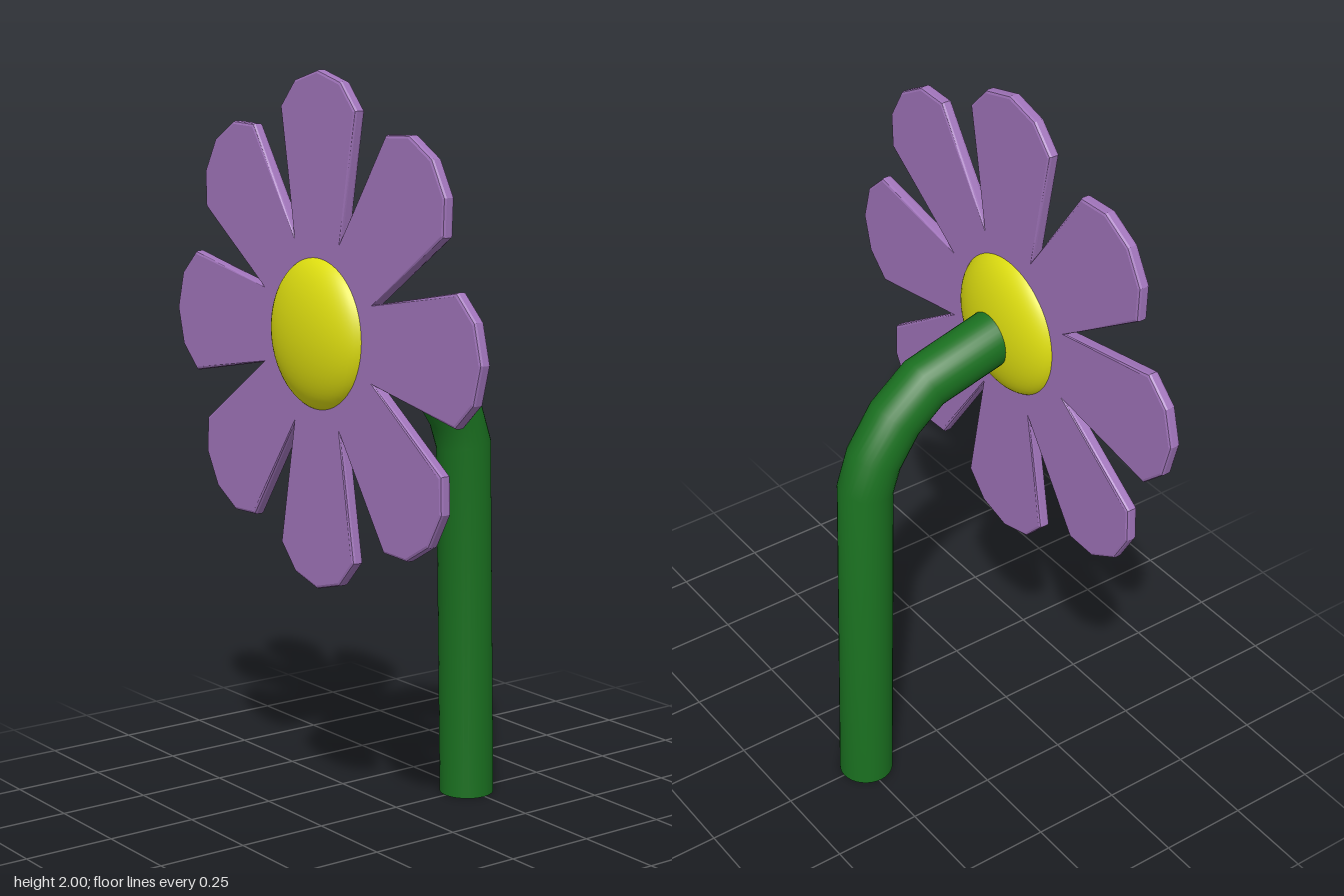
import * as THREE from 'three';

// Curve that visits its corner points exactly, so the tube gets one ring per corner
class CornerCurve extends THREE.Curve {
  constructor(points) {
    super();
    this.points = points;
  }
  getPointAt(u, target = new THREE.Vector3()) {
    return target.copy(this.points[Math.round(u * (this.points.length - 1))]);
  }
  getTangentAt(u, target = new THREE.Vector3()) {
    const p = this.points, last = p.length - 1, i = Math.round(u * last);
    if (i === 0) return target.set(0, 1, 0); // flat foot
    const before = p[i].clone().sub(p[i - 1]).normalize();
    const after = i < last ? p[i + 1].clone().sub(p[i]).normalize() : before;
    return target.copy(before).add(after).normalize();
  }
}

export function createModel() {
  const group = new THREE.Group();
  const mat = (color) => new THREE.MeshStandardMaterial({ color });
  const add = (name, geometry, material, x = 0, y = 0, z = 0) => {
    const mesh = new THREE.Mesh(geometry, material);
    mesh.name = name;
    mesh.position.set(x, y, z);
    group.add(mesh);
    return mesh;
  };
  const purple = mat(0xa074ba), yellow = mat(0xdede10), green = mat(0x1a7020);

  // Bent stem: upright, then curving forward into the back of the flower head
  const stemRadius = 0.075;
  const path = [[0, -0.245], [0.985, -0.228], [1.07, -0.2], [1.17, -0.133], [1.245, -0.04], [1.315, 0.22]]
    .map(([y, z]) => new THREE.Vector3(0, y, z));
  add('stem', new THREE.TubeGeometry(new CornerCurve(path), path.length - 1, stemRadius, 32), green);
  const foot = add('stemFoot', new THREE.CircleGeometry(stemRadius, 32), green, 0, 0, -0.245);
  foot.rotation.x = Math.PI / 2;

  // Eight petals in one outline; each starts at the notch on its clockwise side
  const petal = [[0.102, 0.246], [0.165, 0.575], [0.1, 0.645], [0, 0.672], [-0.1, 0.645], [-0.165, 0.575]];
  const outline = [];
  for (let i = 0; i < 8; i++) {
    for (const [x, y] of petal) {
      outline.push(new THREE.Vector2(x, y).rotateAround(new THREE.Vector2(), i * Math.PI / 4));
    }
  }
  const bevel = 0.008;
  const petals = new THREE.ExtrudeGeometry(new THREE.Shape(outline), {
    depth: 0.016, bevelThickness: bevel, bevelSize: bevel, bevelOffset: -bevel, bevelSegments: 2,
  });
  petals.translate(0, 0, -0.008);
  const petalMesh = add('petals', petals, purple, 0, 1.325, 0.24);
  petalMesh.rotation.x = -0.008;

  // Domed centre, bulging on both sides
  const centre = new THREE.SphereGeometry(0.2, 48, 32).scale(1, 1, 0.4);
  add('flowerCentre', centre, yellow, 0, 1.325, 0.24);

  return group;
}
